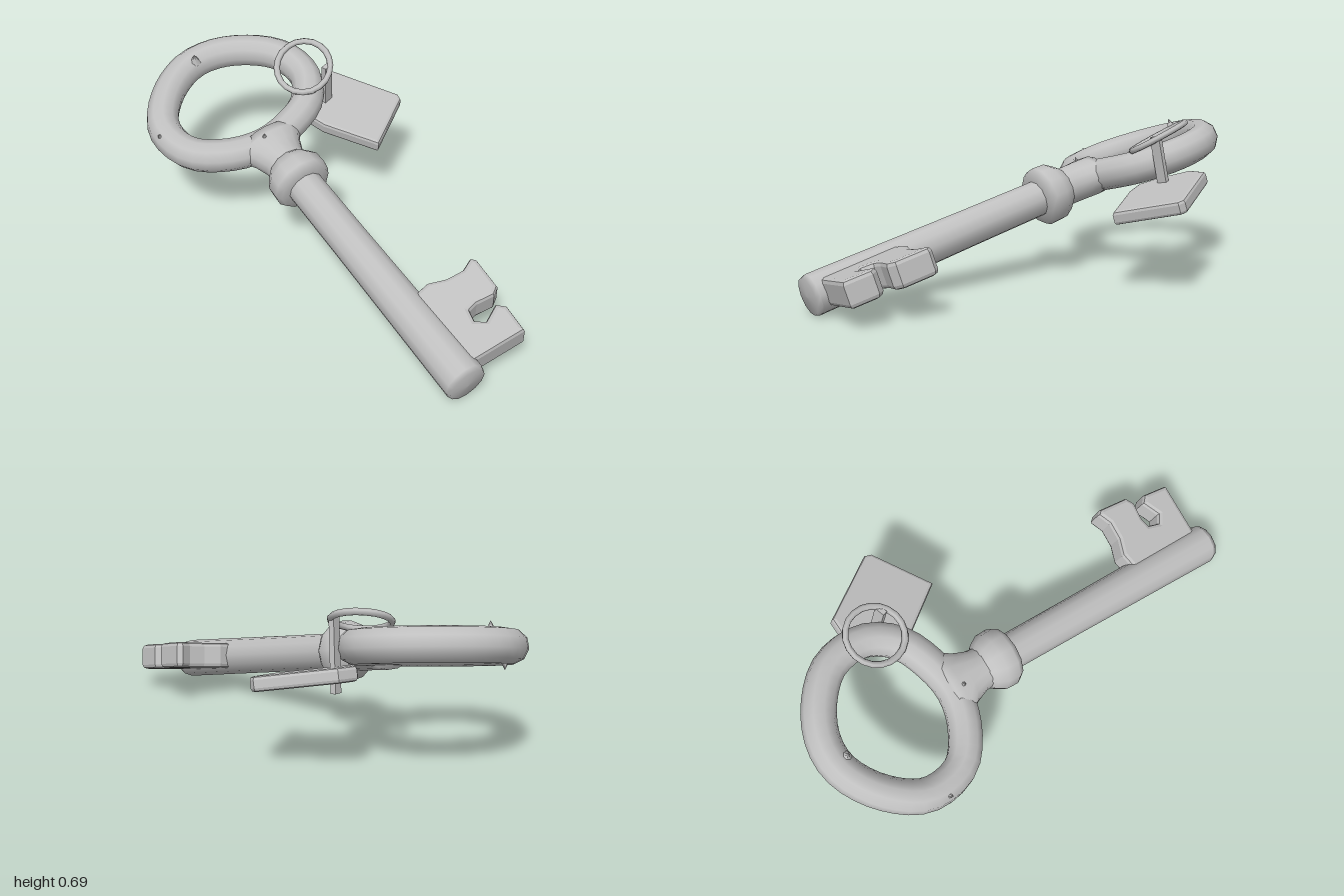
import * as THREE from 'three';
import { mergeVertices } from 'three/addons/utils/BufferGeometryUtils.js';

// Tilted plane through (cx, cy, cz): returns a function (x, z, height above plane) -> point
function tiltedPlane(cx, cy, cz, slopeX, slopeZ) {
  const normal = new THREE.Vector3(-slopeX, 1, -slopeZ).normalize();
  const at = (x, z, h = 0) =>
    new THREE.Vector3(x, cy + slopeX * (x - cx) + slopeZ * (z - cz), z).addScaledVector(normal, h);
  at.normal = normal;
  return at;
}

// Plate with an outline in x, z, laid on a tilted plane
function plate(outline, plane, thickness, bevel) {
  const shape = new THREE.Shape(outline.map(([x, z]) => new THREE.Vector2(x, -z)));
  const geo = new THREE.ExtrudeGeometry(shape, {
    depth: thickness - 2 * bevel, bevelEnabled: true, bevelSize: bevel,
    bevelThickness: bevel, bevelOffset: -bevel, bevelSegments: 2,
  });
  const pos = geo.attributes.position;
  for (let i = 0; i < pos.count; i++) {
    const p = plane(pos.getX(i), -pos.getY(i), pos.getZ(i) - thickness / 2 + bevel);
    pos.setXYZ(i, p.x, p.y, p.z);
  }
  geo.computeVertexNormals();
  return geo;
}

function closedTube(points, segments, radius, sides) {
  return new THREE.TubeGeometry(new THREE.CatmullRomCurve3(points, true), segments, radius, sides, true);
}

function lathe(profile, sides) {
  return new THREE.LatheGeometry(profile.map(([r, t]) => new THREE.Vector2(r, t)), sides);
}

export function createModel() {
  const model = new THREE.Group();
  model.name = 'keyWithTag';
  const metal = new THREE.MeshStandardMaterial({ color: 0xc0c0c0 });
  metal.name = 'greyMetal';
  const add = (name, geo, parent = model) => {
    const mesh = new THREE.Mesh(geo, metal);
    mesh.name = name;
    parent.add(mesh);
    return mesh;
  };

  const keyPlane = tiltedPlane(-0.63, 0.505, -0.01, -0.172, -0.27);

  // Bow: the big oval handle
  const bow = [
    [-0.925, -0.03], [-0.89, 0.14], [-0.78, 0.28], [-0.61, 0.307], [-0.47, 0.22], [-0.38, 0.09],
    [-0.355, -0.06], [-0.375, -0.2], [-0.47, -0.305], [-0.63, -0.33], [-0.78, -0.26], [-0.885, -0.15],
  ];
  add('bow', closedTube(bow.map(([x, z]) => keyPlane(x, z)), 40, 0.071, 10));

  // Small nubs on the bow
  const nubs = [
    [-0.885, -0.05, 0.07, 0, 1], [-0.74, 0.34, 0.045, 0.6, 0.8],
    [-0.36, 0.1, 0.075, 0, 1], [-0.9, 0.05, -0.07, 0, -1],
  ];
  for (const [x, z, h, outZ, up] of nubs) {
    const nub = add('bowNub', new THREE.ConeGeometry(0.025, 0.05, 6));
    nub.position.copy(keyPlane(x, z, h));
    const dir = keyPlane.normal.clone().multiplyScalar(up);
    dir.z += outZ;
    nub.quaternion.setFromUnitVectors(new THREE.Vector3(0, 1, 0), dir.normalize());
  }

  // Stem group: local y runs from the bow to the tip, local z is the key plane's normal
  const stem = new THREE.Group();
  stem.name = 'stem';
  const origin = keyPlane(-0.16, 0.135);
  const tip = keyPlane(0.93, 0.485);
  const length = tip.distanceTo(origin);
  const along = tip.clone().sub(origin).normalize();
  const side = along.clone().cross(keyPlane.normal);
  stem.quaternion.setFromRotationMatrix(new THREE.Matrix4().makeBasis(side, along, keyPlane.normal));
  stem.position.copy(origin);
  model.add(stem);

  add('shaft', lathe([[0.078, 0], [0.08, 0.4], [0.088, length - 0.02]], 12), stem);
  add('shaftTip', lathe([[0.088, length - 0.02], [0.08, length], [0.0001, length + 0.006]], 12), stem);
  add('collar', lathe([
    [0.08, -0.085], [0.105, -0.06], [0.128, -0.02], [0.13, 0.035], [0.115, 0.06], [0.07, 0.065],
  ], 12), stem);

  // Neck: flares sideways into the bow but stays as thick as the bow
  let neck = lathe([[0.0001, -0.27], [0.13, -0.25], [0.15, -0.215], [0.115, -0.16], [0.092, -0.1], [0.085, 0]], 16);
  const np = neck.attributes.position;
  for (let i = 0; i < np.count; i++) {
    const r = Math.hypot(np.getX(i), np.getZ(i));
    np.setZ(i, np.getZ(i) * Math.min(1, 0.085 / r));
  }
  neck.deleteAttribute('uv');
  neck.deleteAttribute('normal');
  neck = mergeVertices(neck);
  neck.computeVertexNormals();
  add('neck', neck, stem);

  // Bit: two teeth joined at the shaft
  add('bit', plate([
    [0.58, 0.25], [0.63, 0.19], [0.66, 0.12], [0.655, 0.06], [0.68, 0.05], [0.81, 0.10],
    [0.82, 0.14], [0.785, 0.21], [0.78, 0.25], [0.82, 0.275], [0.855, 0.25], [0.845, 0.17],
    [0.885, 0.15], [0.995, 0.195], [0.905, 0.42], [0.85, 0.46], [0.56, 0.37],
  ], keyPlane, 0.115, 0.018));

  // Thin split ring lying over the bow
  const loopPlane = tiltedPlane(-0.433, 0.64, -0.253, -0.22, -0.52);
  const loop = [];
  for (let i = 0; i < 10; i++) {
    const a = (i / 10) * Math.PI * 2;
    loop.push(loopPlane(-0.433 + 0.122 * Math.cos(a), -0.253 + 0.11 * Math.sin(a)));
  }
  add('smallRing', closedTube(loop, 20, 0.014, 6));

  // Strap from the ring through the tag
  const top = new THREE.Vector3(-0.34, 0.655, -0.3);
  const bottom = new THREE.Vector3(-0.375, 0.36, -0.34);
  const strap = add('strap', new THREE.BoxGeometry(0.022, top.distanceTo(bottom), 0.045));
  strap.position.copy(top).lerp(bottom, 0.5);
  strap.quaternion.setFromUnitVectors(new THREE.Vector3(0, 1, 0), top.clone().sub(bottom).normalize());

  // Tag with clipped corners at the strap end
  const tagPlane = tiltedPlane(-0.26, 0.415, -0.385, -0.244, -0.178);
  add('tag', plate([
    [-0.465, -0.48], [-0.15, -0.575], [-0.125, -0.56], [-0.05, -0.29],
    [-0.29, -0.21], [-0.37, -0.205], [-0.43, -0.27], [-0.495, -0.39],
  ], tagPlane, 0.06, 0.014));

  return model;
}
